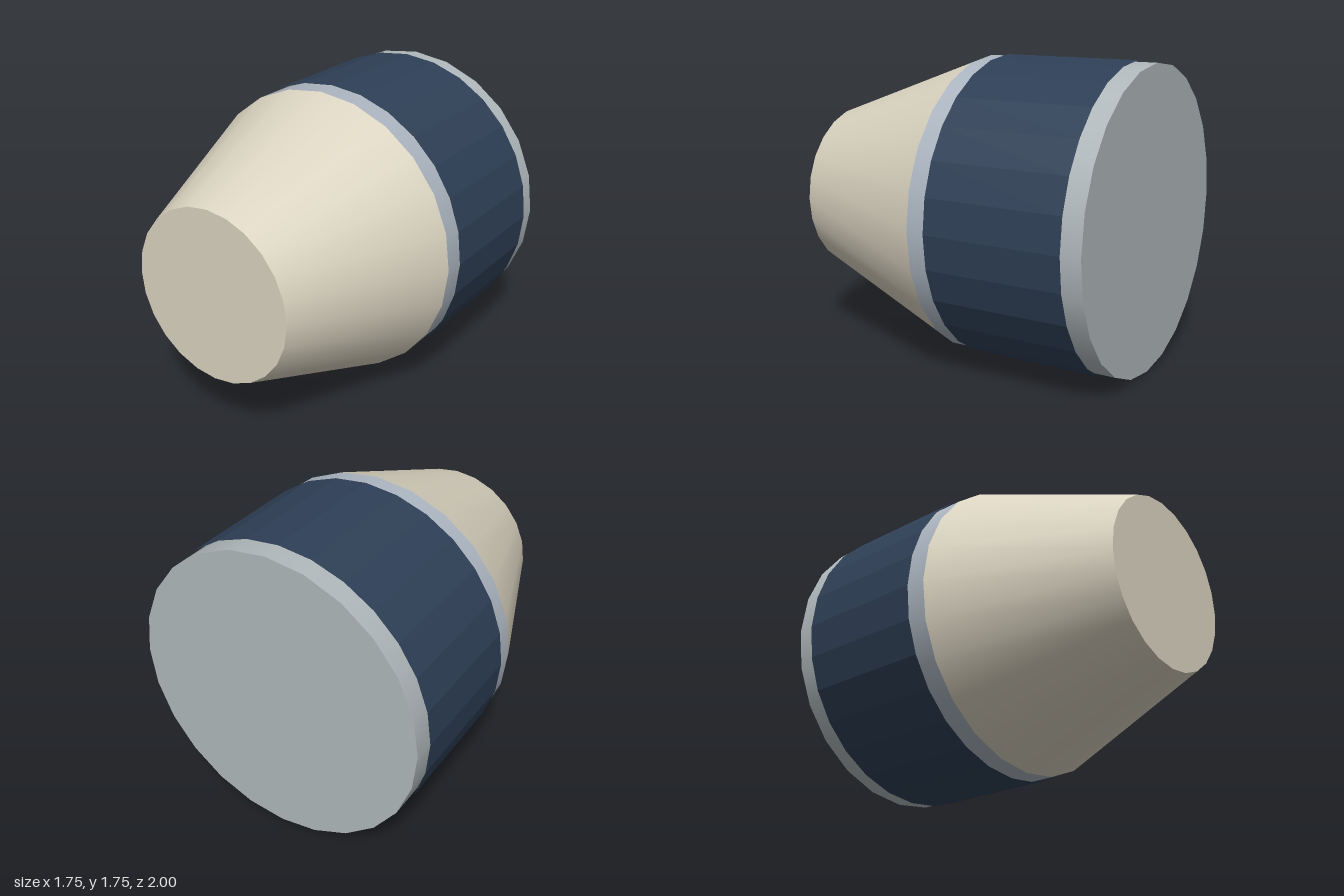
import * as THREE from 'three';

const mat = (name, color) => {
  const m = new THREE.MeshStandardMaterial({ color });
  m.name = name;
  return m;
};

export function createModel() {
  const group = new THREE.Group();
  group.name = 'taperedCapsule';

  const cream = mat('cream', 0xdad3c0);
  const silver = mat('silver', 0xb0b8bb);
  const paleSteel = mat('paleSteel', 0xabb5c0);
  const navy = mat('navy', 0x2e3f56);
  navy.flatShading = true;

  // Round section lying along z, from its back to its front
  const section = (name, material, zBack, zFront, rBack, rFront, sides = 24, open = false) => {
    const geo = new THREE.CylinderGeometry(rFront, rBack, zFront - zBack, sides, 1, open);
    geo.rotateX(Math.PI / 2);
    const mesh = new THREE.Mesh(geo, material);
    mesh.name = name;
    mesh.position.set(0, 0.875, (zBack + zFront) / 2);
    group.add(mesh);
  };

  // Body: nose cone, collar behind it, and main drum
  section('noseCone', cream, 0.02, 1, 0.866, 0.502);
  section('frontCollar', paleSteel, -0.1, 0.02, 0.866, 0.866, 24, true);
  section('rearDrum', silver, -1, -0.1, 0.866, 0.866);

  // Thin faceted sleeve wrapped around the drum
  section('sleeve', navy, -0.89, -0.09, 0.875, 0.875, 28, true);

  return group;
}
